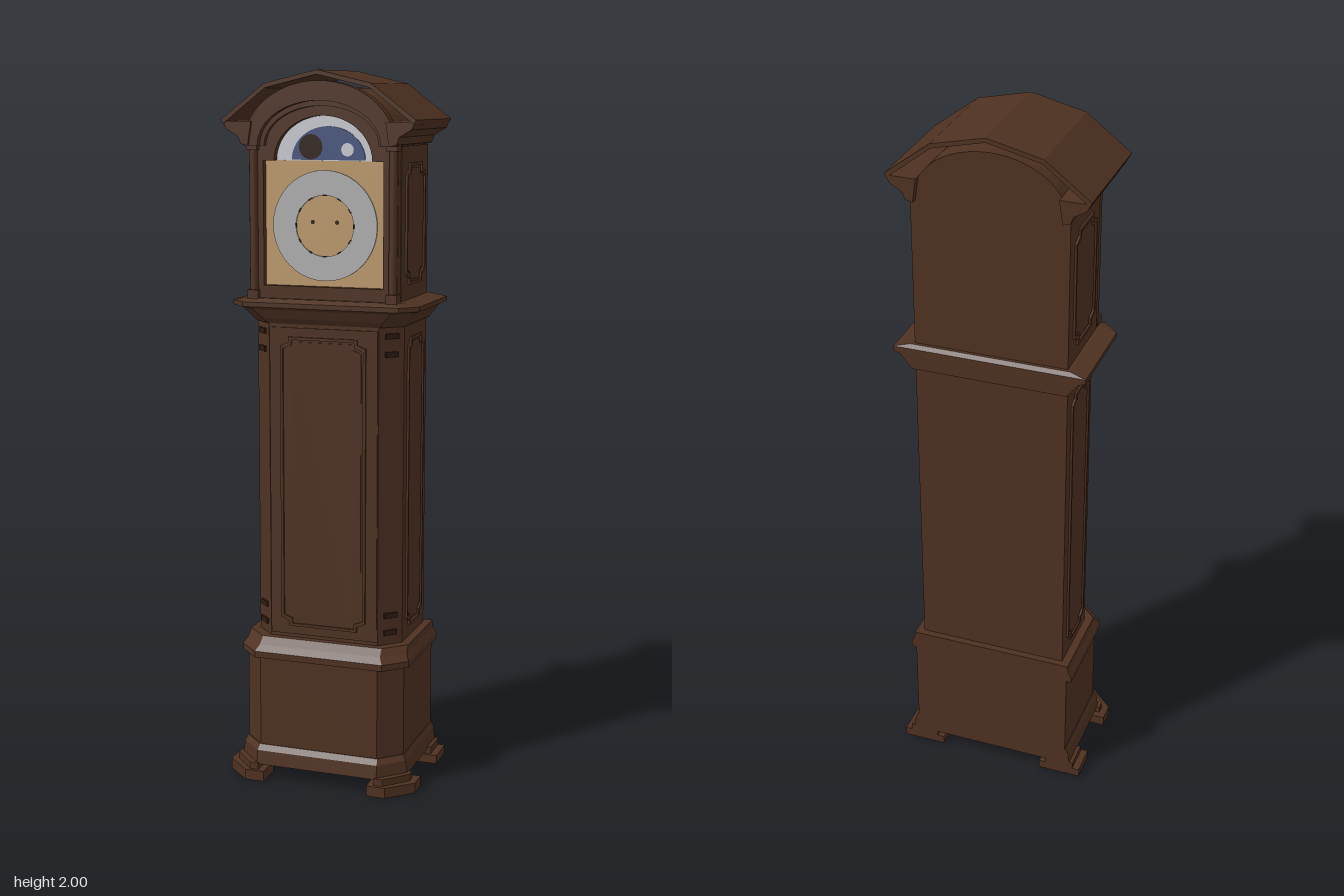
import * as THREE from 'three';

const mat = (name, color) => Object.assign(new THREE.MeshStandardMaterial({ color }), { name });

export function createModel() {
  const wood = mat('walnut wood', 0x4e3121);
  const dark = mat('dark wood', 0x2e1c12);
  const brass = mat('brass plate', 0xbd9a6c);
  const silver = mat('silvered ring', 0xb0b0b0);
  const pale = mat('pale sky', 0xc9ccd2);
  const blue = mat('night blue', 0x46557f);
  const group = new THREE.Group();

  const add = (name, geometry, material = wood, parent = group) => {
    const mesh = new THREE.Mesh(geometry, material);
    mesh.name = name;
    parent.add(mesh);
    return mesh;
  };
  const extrude = (shape, z0, z1) =>
    new THREE.ExtrudeGeometry(shape, { depth: z1 - z0, bevelEnabled: false, curveSegments: 20 }).translate(0, 0, z0);
  const poly = (pts) => new THREE.Shape(pts.map((p) => new THREE.Vector2(...p)));

  // Stack of outlines with cut front corners; each ring is [y, halfWidth, back, front, cut]
  const loft = (rings) => {
    const outlines = rings.map(([y, w, b, f, c]) =>
      [[-w, b], [w, b], [w, f - c], [w - c, f], [c - w, f], [-w, f - c]].map(([x, z]) => [x, y, z]));
    const pos = [];
    for (let k = 0; k + 1 < outlines.length; k++) {
      const lo = outlines[k], hi = outlines[k + 1];
      for (let i = 0; i < 6; i++) {
        const j = (i + 1) % 6;
        pos.push(...lo[i], ...hi[i], ...hi[j], ...lo[i], ...hi[j], ...lo[j]);
      }
    }
    const bottom = outlines[0], top = outlines[outlines.length - 1];
    for (let i = 1; i < 5; i++) {
      pos.push(...bottom[0], ...bottom[i], ...bottom[i + 1]);
      pos.push(...top[0], ...top[i + 1], ...top[i]);
    }
    const g = new THREE.BufferGeometry();
    g.setAttribute('position', new THREE.Float32BufferAttribute(pos, 3));
    g.computeVertexNormals();
    return g;
  };

  // Rectangle with a half-elliptical top
  const archShape = (w, y0, ys, rx, top) => {
    const s = new THREE.Shape();
    s.moveTo(-w, y0).lineTo(w, y0).lineTo(w, ys).lineTo(rx, ys);
    s.absellipse(0, ys, rx, top - ys, 0, Math.PI, false);
    s.lineTo(-w, ys);
    return s;
  };

  // Rectangle with stepped-in corners
  const notched = (w, h, n) => poly([
    [-w + n, -h], [w - n, -h], [w - n, -h + n * 0.6], [w, -h + n], [w, h - n], [w - n, h - n * 0.6],
    [w - n, h], [n - w, h], [n - w, h - n * 0.6], [-w, h - n], [-w, n - h], [n - w, n * 0.6 - h],
  ]);
  // Panel with a thin raised moulding around it
  const panel = (name, w, h, n) => {
    const g = new THREE.Group();
    g.name = name;
    const rim = notched(w, h, n);
    rim.holes.push(notched(w - 0.008, h - 0.008, n));
    add('panelMoulding', extrude(rim, 0, 0.007), wood, g);
    add('panelField', extrude(notched(w - 0.014, h - 0.014, n), 0, 0.004), wood, g);
    group.add(g);
    return g;
  };

  // Base
  add('skirt', loft([[0.045, 0.25, -0.19, 0.165, 0.07], [0.085, 0.245, -0.19, 0.16, 0.065],
    [0.1, 0.237, -0.19, 0.147, 0.06]]));
  add('base', loft([[0.1, 0.235, -0.19, 0.145, 0.06], [0.36, 0.235, -0.19, 0.145, 0.06]]));
  add('baseMoulding', loft([[0.36, 0.25, -0.19, 0.15, 0.06], [0.378, 0.25, -0.19, 0.15, 0.06],
    [0.395, 0.24, -0.19, 0.135, 0.06], [0.415, 0.238, -0.19, 0.115, 0.06]]));

  // Bracket feet, mirrored
  for (const s of [-1, 1]) {
    const foot = (pts, y0, y1) => extrude(poly(pts.map(([x, z]) => [s * x, -z])), y0, y1).rotateX(-Math.PI / 2);
    add('frontFoot', foot([[0.28, 0.06], [0.28, 0.115], [0.21, 0.18], [0.155, 0.18], [0.155, 0.1], [0.2, 0.06]], 0, 0.03));
    add('frontFootTop', foot([[0.26, 0.08], [0.26, 0.105], [0.2, 0.17], [0.175, 0.17], [0.175, 0.1], [0.2, 0.08]], 0.03, 0.05));
    add('backFoot', foot([[0.28, -0.19], [0.28, -0.1], [0.2, -0.1], [0.155, -0.15], [0.155, -0.19]], 0.005, 0.03));
    add('backFootTop', foot([[0.26, -0.19], [0.26, -0.11], [0.2, -0.11], [0.175, -0.15], [0.175, -0.19]], 0.03, 0.05));
  }

  // Waist with front door and side panels
  add('waist', loft([[0.41, 0.215, -0.17, 0.095, 0.055], [1.325, 0.215, -0.17, 0.095, 0.055]]));
  add('door', new THREE.BoxGeometry(0.315, 0.88, 0.006).translate(0, 0.865, 0.096));
  panel('doorPanel', 0.125, 0.415, 0.025).position.set(0, 0.865, 0.098);
  for (const s of [-1, 1]) {
    const side = panel('waistSidePanel', 0.073, 0.415, 0.025);
    side.position.set(s * 0.214, 0.865, -0.062);
    side.rotation.y = s * Math.PI / 2;
    const hoodSide = panel('hoodSidePanel', 0.087, 0.165, 0.03);
    hoodSide.position.set(s * 0.214, 1.59, -0.047);
    hoodSide.rotation.y = s * Math.PI / 2;
    // Carved ends on the cut corners
    for (const y of [0.45, 0.5, 1.24, 1.29]) {
      const carving = add('cornerCarving', new THREE.BoxGeometry(0.04, 0.015, 0.012), dark);
      carving.position.set(s * 0.1875, y, 0.0675);
      carving.rotation.y = s * Math.PI / 4;
    }
  }

  // Moulding between waist and hood
  add('waistMoulding', loft([[1.315, 0.218, -0.19, 0.098, 0.055], [1.33, 0.23, -0.19, 0.108, 0.055],
    [1.355, 0.25, -0.19, 0.12, 0.05], [1.362, 0.27, -0.19, 0.13, 0.045], [1.375, 0.27, -0.19, 0.13, 0.045],
    [1.385, 0.225, -0.18, 0.112, 0.02]]));

  // Hood body and framed front
  add('hood', extrude(archShape(0.215, 1.38, 1.8, 0.21, 1.955), -0.17, 0.075));
  const frame = archShape(0.213, 1.38, 1.8, 0.208, 1.955);
  frame.holes.push(archShape(0.172, 1.42, 1.76, 0.14, 1.88));
  add('hoodFrame', extrude(frame, 0.075, 0.1));
  const arch = new THREE.Shape().absellipse(0, 1.8, 0.215, 0.172, 0, Math.PI, false);
  arch.lineTo(-0.175, 1.8).absellipse(0, 1.8, 0.175, 0.12, Math.PI, 0, true);
  add('archMoulding', extrude(arch, 0.1, 0.135));
  const bead = new THREE.Shape().absellipse(0, 1.8, 0.175, 0.12, 0, Math.PI, false);
  bead.lineTo(-0.163, 1.8).absellipse(0, 1.8, 0.163, 0.106, Math.PI, 0, true);
  add('archBead', extrude(bead, 0.1, 0.115));

  // Hood columns and side cornices, mirrored
  for (const s of [-1, 1]) {
    add('hoodColumn', new THREE.CylinderGeometry(0.012, 0.012, 0.4, 12).translate(s * 0.2, 1.6, 0.1));
    for (const y of [1.395, 1.8])
      add('columnBlock', new THREE.BoxGeometry(0.032, 0.025, 0.032).translate(s * 0.2, y, 0.1));
    const cornice = poly([[0.2, 1.8], [0.22, 1.805], [0.228, 1.825], [0.262, 1.845], [0.272, 1.865], [0.19, 1.865]]
      .map(([x, y]) => [s * x, y]));
    add('hoodCornice', extrude(cornice, -0.19, 0.143));
  }

  // Roof boards
  const ridge = [[-0.275, 1.87], [-0.15, 1.965], [0, 2], [0.15, 1.965], [0.275, 1.87]];
  const under = ridge.map(([x, y]) => [x * 0.98, y - 0.012]).reverse();
  add('roof', extrude(poly([...ridge, ...under]), -0.19, 0.147));

  // Dial: brass plate, chapter ring, arched moon scene
  add('dialPlate', new THREE.BoxGeometry(0.344, 0.34, 0.006).translate(0, 1.59, 0.078), brass);
  const chapter = new THREE.Shape().absarc(0, 1.585, 0.15, 0, Math.PI * 2, false);
  chapter.holes.push(new THREE.Path().absarc(0, 1.585, 0.083, 0, Math.PI * 2, true));
  add('chapterRing', extrude(chapter, 0.081, 0.085), silver);
  for (let i = 0; i < 12; i++) {
    const a = i * Math.PI / 6;
    add('hourMark', new THREE.BoxGeometry(0.012, 0.004, 0.002).rotateZ(a + Math.PI / 2)
      .translate(Math.cos(a) * 0.083, 1.585 + Math.sin(a) * 0.083, 0.0845), dark);
  }
  for (const s of [-1, 1])
    add('windingHole', new THREE.CircleGeometry(0.006, 12).translate(s * 0.035, 1.595, 0.0825), dark);
  add('moonSky', extrude(archShape(0.14, 1.76, 1.761, 0.14, 1.88), 0.075, 0.08), pale);
  const night = new THREE.Shape().absellipse(0.01, 1.762, 0.105, 0.09, 0, Math.PI, false);
  add('moonDisc', extrude(night, 0.08, 0.083), blue);
  add('moonHill', new THREE.CircleGeometry(0.034, 20).translate(-0.04, 1.797, 0.0845), dark);
  add('moonCloud', new THREE.CircleGeometry(0.018, 16).translate(0.065, 1.79, 0.0845), pale);

  return group;
}
